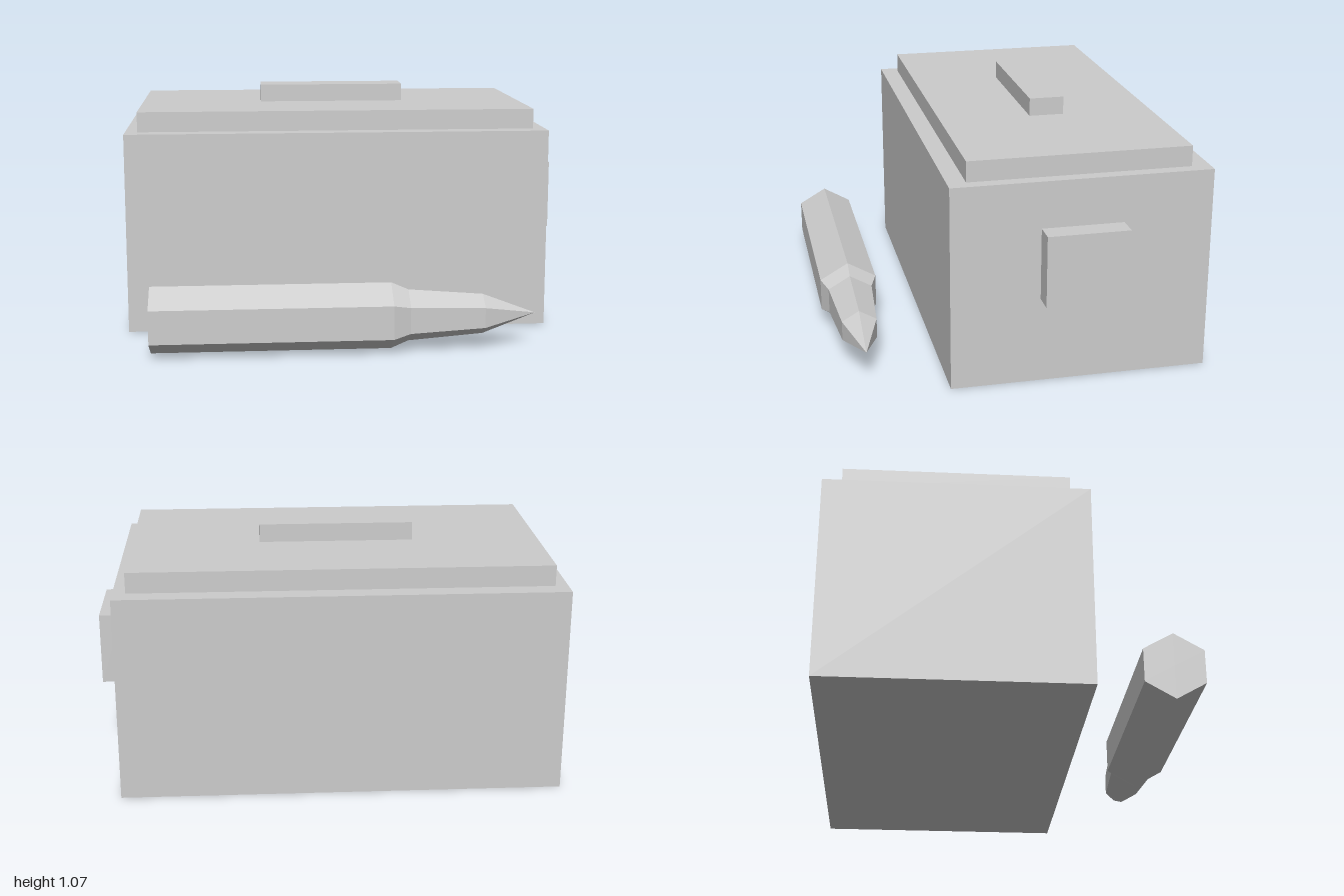
import * as THREE from 'three';

const grey = new THREE.MeshStandardMaterial({ color: 0xcccccc });
grey.name = 'plain grey';

// Box given by its min and max on each axis
function block(name, [x0, x1], [y0, y1], [z0, z1]) {
  const mesh = new THREE.Mesh(new THREE.BoxGeometry(x1 - x0, y1 - y0, z1 - z0), grey);
  mesh.name = name;
  mesh.position.set((x0 + x1) / 2, (y0 + y1) / 2, (z0 + z1) / 2);
  return mesh;
}

// Six-sided flat-faced turning along +x; profile is [x, radius] pairs
function hexTurning(name, profile) {
  const points = profile.map(([x, r]) => new THREE.Vector2(r, x));
  const lathe = new THREE.LatheGeometry(points, 6).rotateX(-Math.PI / 2).rotateY(-Math.PI / 2);
  const geometry = lathe.toNonIndexed();
  geometry.computeVertexNormals();
  const mesh = new THREE.Mesh(geometry, grey);
  mesh.name = name;
  return mesh;
}

export function createModel() {
  const model = new THREE.Group();
  model.name = 'ammunitionBox';

  // Box with stepped lid, carrying handle and side latch
  model.add(
    block('boxBody', [-1, 0.905], [0, 0.9], [-0.795, 0.33]),
    block('lid', [-0.945, 0.85], [0.9, 0.99], [-0.715, 0.25]),
    block('handle', [-0.385, 0.29], [0.99, 1.07], [-0.31, -0.155]),
    block('latch', [0.905, 1], [0.38, 0.695], [-0.41, -0.055]),
  );

  // Cartridge lying in front of the box
  const cartridge = new THREE.Group();
  cartridge.name = 'cartridge';
  cartridge.position.set(0, 0.147, 0.668);
  cartridge.add(
    hexTurning('cartridgeCase', [[-0.88, 0], [-0.88, 0.147], [0.155, 0.147], [0.23, 0.114]]),
    hexTurning('cartridgeTip', [[0.23, 0.114], [0.555, 0.088], [0.785, 0]]),
  );
  model.add(cartridge);
  return model;
}
